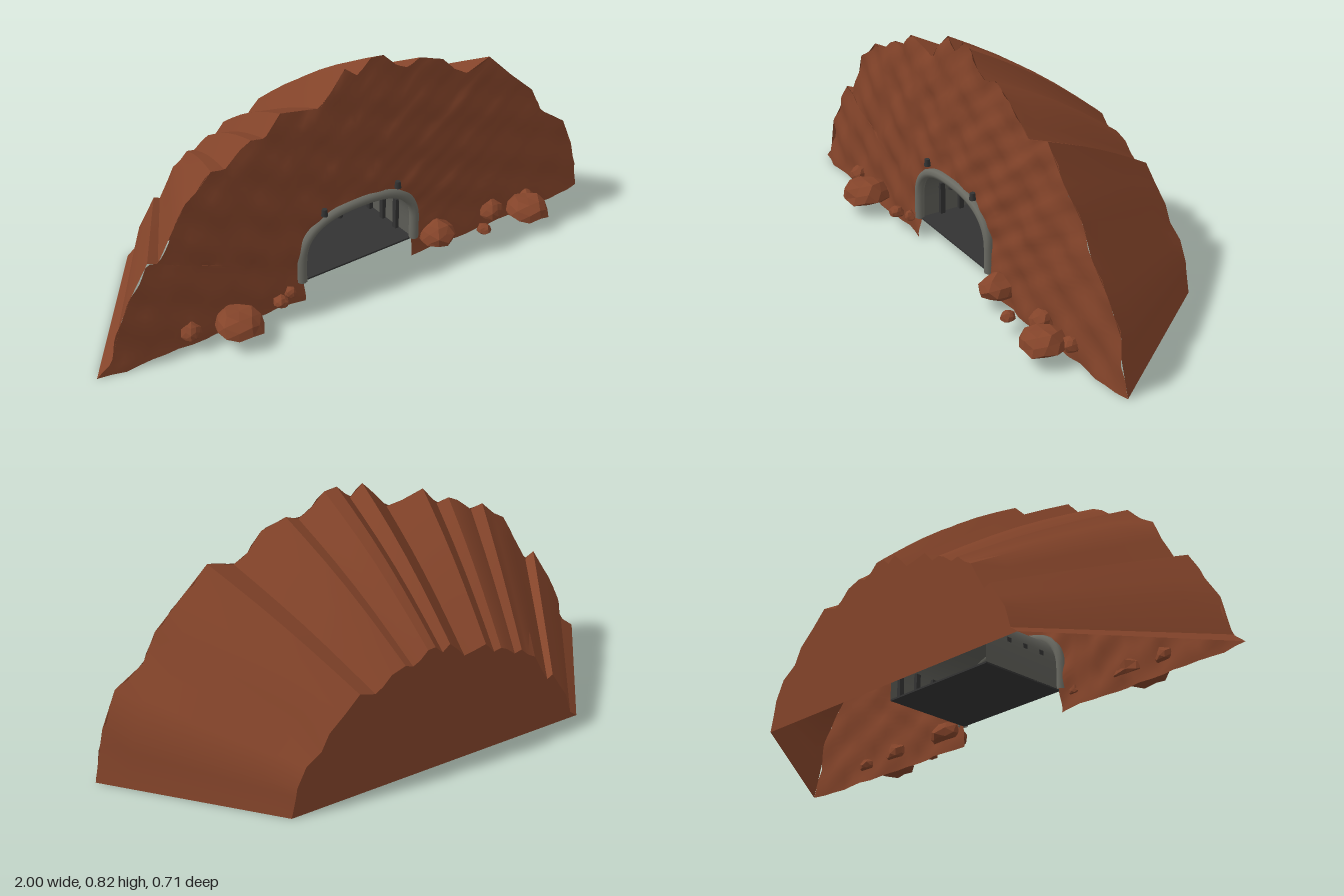
import * as THREE from 'three';
import { toCreasedNormals } from 'three/addons/utils/BufferGeometryUtils.js';

const mat = (color, extra = {}) => new THREE.MeshStandardMaterial({ color, roughness: 0.9, side: THREE.DoubleSide, ...extra });
const earth = mat(0x84442a);
const rockMat = mat(0x84442a, { flatShading: true });
const steel = mat(0x6a6a62);
const wallMat = mat(0x5c5c56);
const dark = mat(0x333333);

// Jagged ridge line of the hill, from -x to +x
const RIDGE = [
  [-1, 0], [-0.95, 0.04], [-0.91, 0.18], [-0.86, 0.26], [-0.8, 0.36], [-0.76, 0.34], [-0.7, 0.45], [-0.66, 0.53],
  [-0.61, 0.56], [-0.56, 0.61], [-0.51, 0.6], [-0.45, 0.65], [-0.41, 0.67], [-0.36, 0.66], [-0.3, 0.73], [-0.21, 0.71],
  [-0.15, 0.7], [-0.11, 0.75], [-0.05, 0.81], [0, 0.77], [0.05, 0.82], [0.1, 0.815], [0.15, 0.765], [0.2, 0.74],
  [0.25, 0.76], [0.34, 0.73], [0.4, 0.67], [0.45, 0.64], [0.55, 0.67], [0.65, 0.57], [0.75, 0.48], [0.8, 0.38],
  [0.9, 0.31], [0.96, 0.19], [0.97, 0.13], [1, 0],
];
const FRONT = 0.2, BACK = -0.36, FLOOR = 0.075, TUNNEL_BACK = -0.14;

// Arch outline: short straight legs with a flattened round top
function archPoints(halfWidth, bottom, spring, top, steps = 24) {
  const pts = [new THREE.Vector2(-halfWidth, bottom)];
  for (let i = 0; i <= steps; i++) {
    const a = Math.PI * (1 - i / steps);
    const c = Math.cos(a), s = Math.sin(a);
    pts.push(new THREE.Vector2(halfWidth * Math.sign(c) * Math.abs(c) ** 0.8, spring + (top - spring) * s ** 0.8));
  }
  pts.push(new THREE.Vector2(halfWidth, bottom));
  return pts;
}

// Evenly spaced points along a polyline
function resample(pts, n) {
  const path = new THREE.CurvePath();
  for (let i = 1; i < pts.length; i++) path.add(new THREE.LineCurve(pts[i - 1], pts[i]));
  return Array.from({ length: n + 1 }, (_, i) => path.getPoint(i / n));
}

// Surface through a grid of points given by at(row, column)
function gridGeometry(rows, cols, at, crease = 0.5) {
  const pos = [], idx = [];
  for (let r = 0; r <= rows; r++) for (let c = 0; c <= cols; c++) pos.push(...at(r, c));
  for (let r = 0; r < rows; r++) {
    for (let c = 0; c < cols; c++) {
      const a = r * (cols + 1) + c, b = a + cols + 1;
      idx.push(a, b, a + 1, b, b + 1, a + 1);
    }
  }
  const g = new THREE.BufferGeometry();
  g.setAttribute('position', new THREE.Float32BufferAttribute(pos, 3));
  g.setIndex(idx);
  return toCreasedNormals(g, crease);
}

// Gentle lumps of the cliff face, retreating a little at the rim
function cliffZ(x, y, rim) {
  const lump = Math.sin(x * 23 + y * 9) * Math.sin(y * 31 - x * 5) + 0.6 * Math.sin(x * 47 - y * 18) * Math.sin(y * 52 + 1);
  return FRONT + 0.007 * lump - 0.015 * rim ** 4;
}

export function createModel() {
  const model = new THREE.Group();
  const add = (name, geometry, material, parent = model) => {
    const mesh = new THREE.Mesh(geometry, material);
    mesh.name = name;
    parent.add(mesh);
    return mesh;
  };

  const ridge = RIDGE.map(([x, y]) => new THREE.Vector2(x, y));
  const N = 110, ROWS = 16;
  const outer = resample(ridge, N);
  const mouth = resample(archPoints(0.225, 0, 0.14, 0.3), N);

  // Cliff face stretched between the tunnel mouth and the ridge
  add('cliffFace', gridGeometry(ROWS, N, (r, c) => {
    const t = 1 - r / ROWS;
    const p = mouth[c].clone().lerp(outer[c], t);
    return [p.x, p.y, cliffZ(p.x, p.y, t)];
  }, 0.9), earth);

  // Hillside tapering to the flat rear
  const last = RIDGE.length - 1;
  const slope = (c, t) => {
    const [x, y] = RIDGE[c];
    const k = 1 - 0.45 * t + 0.03 * Math.sin(Math.PI * t) * Math.sin(Math.PI * c / last);
    return [x * (1 - 0.42 * t), y * k, THREE.MathUtils.lerp(cliffZ(x, y, 1), BACK, t)];
  };
  add('hillside', gridGeometry(6, last, (r, c) => slope(c, 1 - r / 6), 0.45), earth);

  // Flat rear wall
  const rear = new THREE.Shape(RIDGE.map((_, c) => new THREE.Vector2(slope(c, 1)[0], slope(c, 1)[1])));
  const rearWall = add('rearWall', new THREE.ShapeGeometry(rear), earth);
  rearWall.geometry.rotateY(Math.PI).scale(-1, 1, 1);
  rearWall.position.z = BACK;

  // Tunnel lining, floor and wall posts
  const tunnel = new THREE.Group();
  tunnel.name = 'tunnel';
  model.add(tunnel);
  const lining = archPoints(0.225, FLOOR, 0.14, 0.3);
  add('tunnelLining', gridGeometry(1, lining.length - 1, (r, c) =>
    [lining[c].x, lining[c].y, r ? FRONT : TUNNEL_BACK], 0.6), wallMat, tunnel);
  const floor = add('tunnelFloor', new THREE.BoxGeometry(0.45, 0.006, FRONT - TUNNEL_BACK), dark, tunnel);
  floor.position.set(0, FLOOR, (FRONT + TUNNEL_BACK) / 2);
  for (const side of [-1, 1]) {
    for (let i = 0; i < 4; i++) {
      const post = add('wallPost', new THREE.BoxGeometry(0.014, 0.12, 0.018), dark, tunnel);
      post.position.set(side * 0.215, FLOOR + 0.06, 0.12 - i * 0.075);
    }
  }

  // Steel arch around the mouth
  const arch = archPoints(0.232, FLOOR, 0.15, 0.302).map((p) => new THREE.Vector3(p.x, p.y, FRONT));
  const frame = new THREE.CatmullRomCurve3(arch, false, 'centripetal');
  add('mouthFrame', new THREE.TubeGeometry(frame, 60, 0.017, 8), steel);

  // Small lamps over the arch and one hanging inside it
  for (const [x, y, z] of [[-0.15, 0.322, 0.212], [0.15, 0.322, 0.212], [-0.06, 0.262, 0.17]]) {
    const lamp = add('lamp', new THREE.CylinderGeometry(0.009, 0.012, 0.025, 8), dark);
    lamp.position.set(x, y, z);
  }

  // Flat-bottomed boulders: x, z, radius, height
  const ROCKS = [
    [-0.67, 0.21, 0.036, 0.05], [-0.52, 0.26, 0.088, 0.07], [-0.34, 0.235, 0.028, 0.035], [-0.285, 0.21, 0.022, 0.035],
    [0.32, 0.22, 0.07, 0.075], [0.48, 0.28, 0.027, 0.03], [0.57, 0.21, 0.045, 0.06], [0.68, 0.275, 0.08, 0.068],
    [0.73, 0.21, 0.035, 0.045],
  ];
  ROCKS.forEach(([x, z, radius, height], n) => {
    const g = new THREE.IcosahedronGeometry(1, 1);
    const p = g.attributes.position, v = new THREE.Vector3();
    for (let i = 0; i < p.count; i++) {
      v.fromBufferAttribute(p, i);
      const k = 0.94 + 0.13 * Math.sin(v.x * 5 + n * 2.1) * Math.cos(v.z * 4 + v.y * 3 + n);
      p.setXYZ(i, v.x * k * radius, Math.max(0, v.y * k + 0.2) / 1.2 * height, v.z * k * radius);
    }
    g.computeVertexNormals();
    add('boulder', g, rockMat).position.set(x, 0.047, z);
  });

  return model;
}
